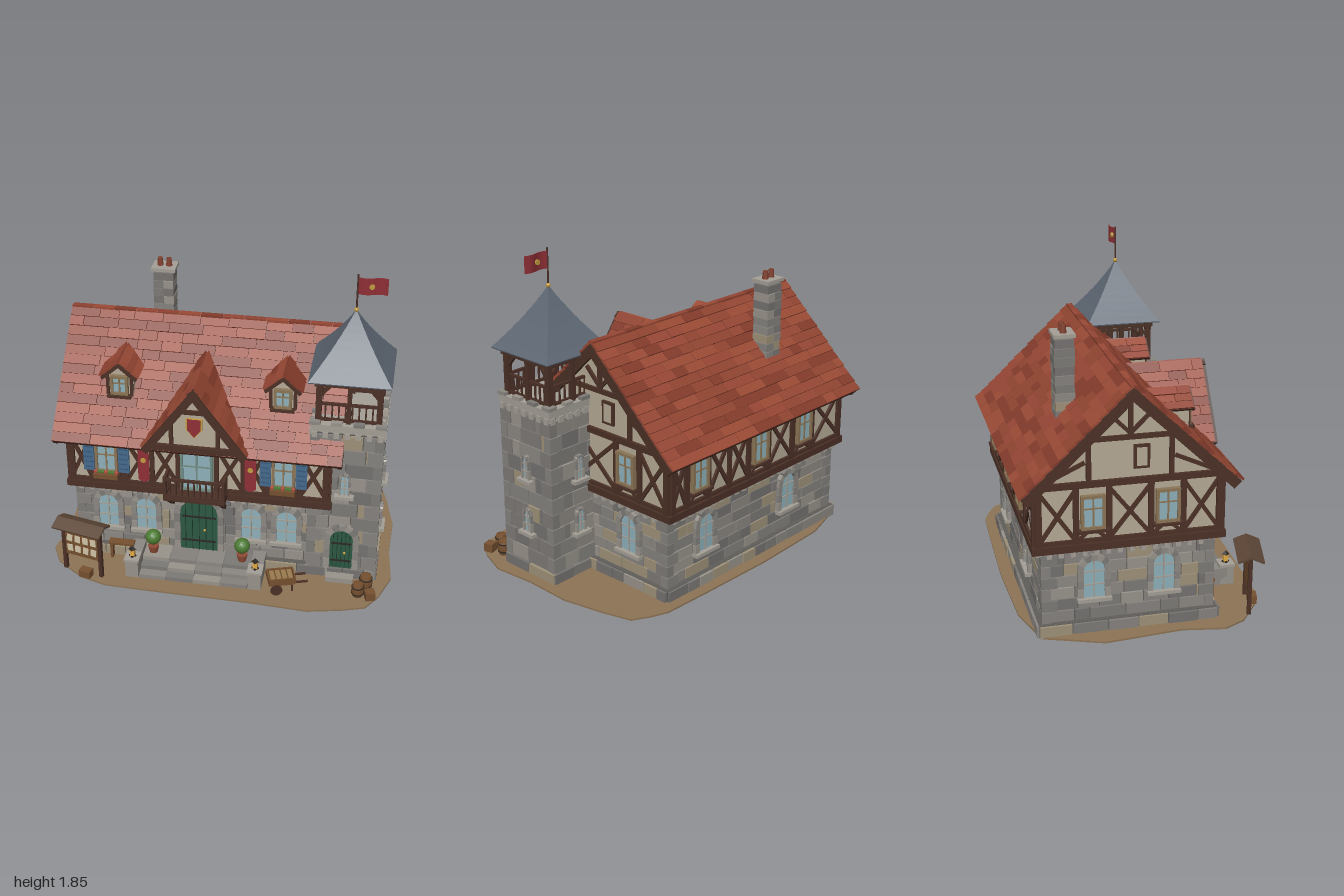
import * as THREE from 'three';

const STONE = [0x8b8782, 0x7c7976, 0x97928a, 0x84817d, 0x9c9078, 0x74716f];
const TILE = [0x8f4330, 0x9a4a35, 0x823b2b, 0x954634];
const TIMBER = 0x4a3026, PLASTER = 0xb3a894, GLASS = 0x8db0ba, MORTAR = 0x605d5a, GREEN = 0x2c5742;
const WOOD = 0x76502f, IRON = 0x2b2725, RED = 0x8e2f35, GOLD = 0xc09a3e, TRIM = 0xa39e95, SLATE = 0x5d6672;
const UNIT = new THREE.BoxGeometry(1, 1, 1), PI = Math.PI;
const CX = -0.125, CZ = -0.12; // centre of the main house
let seed = 7;
const rnd = () => (seed = (seed * 16807) % 2147483647) / 2147483647;
const pick = a => a[Math.floor(rnd() * a.length)];
const mats = {};
const mat = c => mats[c] ??= new THREE.MeshStandardMaterial({ color: c, flatShading: true });

function group(p, name, x = 0, y = 0, z = 0, ry = 0) {
  const g = new THREE.Group();
  g.name = name; g.position.set(x, y, z); g.rotation.y = ry; p.add(g);
  return g;
}
function mesh(p, name, geo, c, x = 0, y = 0, z = 0) {
  const m = new THREE.Mesh(geo, mat(c));
  m.name = name; m.position.set(x, y, z); p.add(m);
  return m;
}
function box(p, name, c, w, h, d, x, y, z, rz = 0) {
  const m = mesh(p, name, UNIT, c, x, y, z);
  m.scale.set(w, h, d); m.rotation.z = rz;
  return m;
}
const cyl = (p, name, c, r1, r2, h, x, y, z, n = 12) => mesh(p, name, new THREE.CylinderGeometry(r1, r2, h, n), c, x, y, z);
// Timber between two points of a facade
const beam = (p, x1, y1, x2, y2, z, w = 0.026, d = 0.03) =>
  box(p, 'timber', TIMBER, Math.hypot(x2 - x1, y2 - y1), w, d, (x1 + x2) / 2, (y1 + y2) / 2, z, Math.atan2(y2 - y1, x2 - x1));
function prism(p, name, c, pts, depth, z) {
  const s = new THREE.Shape(pts.map(q => new THREE.Vector2(...q)));
  return mesh(p, name, new THREE.ExtrudeGeometry(s, { depth, bevelEnabled: false }), c, 0, 0, z);
}
// Coursed blocks of random length on a facade
function stonework(f, u0, u1, y0, y1, rows, z) {
  const h = (y1 - y0) / rows;
  for (let i = 0; i < rows; i++)
    for (let u = u0; u < u1 - 0.001;) {
      let l = 0.08 + rnd() * 0.12;
      if (u + l > u1 - 0.05) l = u1 - u;
      box(f, 'stone', pick(STONE), l - 0.006, h - 0.006, 0.024 + rnd() * 0.012, u + l / 2, y0 + h * (i + 0.5), z);
      u += l;
    }
}
function quoins(p, hx, hz, y0, y1, rows) {
  const h = (y1 - y0) / rows;
  for (const sx of [-1, 1]) for (const sz of [-1, 1]) for (let i = 0; i < rows; i++) {
    const a = i % 2 ? 0.05 : 0.085, b = i % 2 ? 0.085 : 0.05;
    box(p, 'quoin', STONE[i % 2 ? 1 : 3], a, h - 0.005, b, sx * (hx + 0.022 - a / 2), y0 + h * (i + 0.5), sz * (hz + 0.022 - b / 2));
  }
}
// Round-headed window or door with stone surround
function arch(f, u, y, w, h, z, door = false) {
  const g = group(f, door ? 'archedDoor' : 'archedWindow', u, y, z), r = w / 2, top = h - r;
  const s = new THREE.Shape().moveTo(-r, 0).lineTo(r, 0).lineTo(r, top).absarc(0, top, r, 0, PI);
  mesh(g, door ? 'leaf' : 'glass', new THREE.ExtrudeGeometry(s, { depth: 0.024, bevelEnabled: false, curveSegments: 8 }), door ? GREEN : GLASS);
  const t = Math.min(0.035, w * 0.28), n = 7;
  for (let i = 0; i < n; i++) {
    const a = (i + 0.5) / n * PI, R = r + t / 2;
    box(g, 'voussoir', STONE[i % 3], t, R * PI / n * 1.02, 0.038, Math.cos(a) * R, top + Math.sin(a) * R, 0.019, a);
  }
  const k = Math.max(2, Math.round(top / 0.06));
  for (const sd of [-1, 1]) for (let i = 0; i < k; i++)
    box(g, 'jamb', STONE[(i + 2) % 4], t, top / k - 0.003, 0.036, sd * (r + t / 2), top / k * (i + 0.5), 0.018);
  if (door) {
    for (let i = -2; i <= 2; i++) box(g, 'plankLine', 0x1c3a2c, 0.004, h - 0.02 - Math.abs(i) * w * 0.06, 0.004, i * w / 5.5, h / 2 - Math.abs(i) * w * 0.03, 0.026);
    for (const v of [0.2, 0.65]) box(g, 'strap', IRON, w * 0.9, 0.01, 0.006, 0, h * v, 0.027);
    mesh(g, 'handle', new THREE.SphereGeometry(0.008, 8, 6), GOLD, r * 0.3, h * 0.42, 0.032);
  } else {
    box(g, 'mullion', TRIM, 0.008, h, 0.008, 0, h / 2, 0.026);
    for (const v of [0.35, 0.7]) box(g, 'glazingBar', TRIM, w, 0.007, 0.008, 0, h * v, 0.026);
    box(g, 'sill', TRIM, w + 0.07, 0.02, 0.055, 0, -0.01, 0.025);
  }
}
function casement(f, u, y, w, h, z, c = 0x8a7455) {
  const g = group(f, 'casement', u, y, z);
  box(g, 'glass', GLASS, w, h, 0.014, 0, h / 2, 0.007);
  for (const s of [-1, 1]) {
    box(g, 'frame', c, 0.016, h + 0.016, 0.026, s * w / 2, h / 2, 0.013);
    box(g, 'frame', c, w, 0.016, 0.026, 0, h / 2 + s * h / 2, 0.013);
  }
  box(g, 'mullion', c, 0.009, h, 0.02, 0, h / 2, 0.01);
  box(g, 'glazingBar', c, w, 0.007, 0.02, 0, h * 0.62, 0.01);
  box(g, 'sill', TIMBER, w + 0.05, 0.014, 0.04, 0, -0.014, 0.02);
}
function railing(p, w, y, h, x, z, ry = 0) {
  const g = group(p, 'railing', x, y, z, ry), n = Math.round(w / 0.035);
  for (const v of [0.012, h]) box(g, 'rail', TIMBER, w, 0.014, 0.016, 0, v, 0);
  for (let i = 0; i <= n; i++) box(g, 'baluster', TIMBER, 0.009, h, 0.009, -w / 2 + i * w / n, h / 2, 0);
}
// Group whose y runs up a roof slope and whose z points out of it
function slope(p, half, y0, y1) {
  const g = group(p, 'roofSlope', 0, y0, half);
  g.rotation.x = Math.atan2(-half, y1 - y0);
  return [g, Math.hypot(half, y1 - y0)];
}
function tiles(g, len, rows, range) {
  const h = len / rows;
  for (let i = 0; i < rows; i++) {
    const [a, b] = range((i + 0.5) / rows);
    for (let x = a; x < b - 0.001;) {
      let l = 0.08 + rnd() * 0.16;
      if (x + l > b - 0.04) l = b - x;
      box(g, 'roofTile', pick(TILE), l - 0.003, h * 1.15, 0.012, x + l / 2, h * (i + 0.52), 0.008 + rnd() * 0.005).rotation.x = -0.11;
      x += l;
    }
  }
}
const roofZ = y => CZ + (1.385 - y) / 0.975;
// Small gable roof running forward out of the main slope
function crossRoof(p, cx, zf, half, y0, y1, rows, trim) {
  for (const s of [-1, 1]) {
    const [g, len] = slope(group(p, 'gableRoof', cx, 0, 0, s * PI / 2), half, y0, y1);
    const back = roofZ(y1) - 0.02;
    box(g, 'deck', TIMBER, zf - back, len, 0.016, -s * (zf + back) / 2, len / 2, -0.008);
    tiles(g, len, rows, t => { const zb = roofZ(y0 + (y1 - y0) * t) - 0.04; return s > 0 ? [-zf, -zb] : [zb, zf]; });
    box(g, 'bargeBoard', TIMBER, trim * 0.8, len + trim * 0.3, trim, -s * zf, len / 2, -trim * 0.3);
  }
}
function barrel(p, x, z, h, r) {
  const pts = [[0, 0], [r * 0.8, 0], [r, h * 0.35], [r, h * 0.65], [r * 0.8, h], [r * 0.7, h], [r * 0.7, h * 0.94], [0, h * 0.94]];
  const g = group(p, 'barrel', x, 0.01, z);
  mesh(g, 'staves', new THREE.LatheGeometry(pts.map(q => new THREE.Vector2(...q)), 12), WOOD);
  for (const v of [0.25, 0.75]) cyl(g, 'hoop', IRON, r * 1.01, r * 1.01, h * 0.08, 0, h * v, 0);
}

function buildHouse(root) {
  const house = group(root, 'house', CX, 0, CZ);
  box(house, 'plinth', MORTAR, 1.49, 0.07, 0.98, 0, 0.035, 0);
  box(house, 'groundFloor', MORTAR, 1.41, 0.43, 0.9, 0, 0.28, 0);
  prism(group(house, 'upperFloor', 0, 0, 0, PI / 2), 'plasterWalls', PLASTER, [[-0.5, 0.5], [0.5, 0.5], [0.5, 0.85], [0, 1.34], [-0.5, 0.85]], 1.48, -0.74);
  quoins(house, 0.705, 0.45, 0.07, 0.47, 6);
  // [name, turn, half width, ground wall, upper wall, arched windows, casements]
  const sides = [['front', 0, 0.705, 0.45, 0.5, [-0.535, -0.31, 0.305, 0.51], [-0.52, 0.49]],
    ['back', PI, 0.705, 0.45, 0.5, [-0.425, 0.295], [-0.525, -0.02, 0.375]],
    ['right', PI / 2, 0.45, 0.705, 0.74, [0.19], [0.2]],
    ['left', -PI / 2, 0.45, 0.705, 0.74, [-0.19, 0.19], [-0.2, 0.2]]];
  for (const [name, ry, hw, zg, zu, arches, windows] of sides) {
    const f = group(house, name + 'Facade', 0, 0, 0, ry), gable = hw < 0.6, uw = gable ? 0.5 : 0.74;
    stonework(f, -hw - 0.04, hw + 0.04, 0, 0.07, 1, zg + 0.04);
    stonework(f, -hw, hw, 0.07, 0.47, 6, zg);
    for (const u of arches) arch(f, u, 0.205, 0.115, 0.215, zg);
    for (let u = -hw + 0.02; u <= hw; u += 0.063) box(f, 'corbel', TRIM, 0.026, 0.035, 0.05, u, 0.475, zg + 0.02);
    beam(f, -uw - 0.02, 0.51, uw + 0.02, 0.51, zu, 0.04, 0.045);
    beam(f, -uw, 0.545, uw, 0.545, zu, 0.02);
    beam(f, -uw, gable ? 0.86 : 0.825, uw, gable ? 0.86 : 0.825, zu, 0.034, 0.04);
    for (const s of [-1, 1]) beam(f, s * (uw - 0.014), 0.52, s * (uw - 0.014), 0.86, zu, 0.034, 0.036);
    for (const u of windows) {
      casement(f, u, 0.62, 0.115, 0.175, zu + 0.008);
      for (const s of [-1, 1]) {
        beam(f, u + s * 0.085, 0.53, u + s * 0.085, 0.85, zu);
        beam(f, u + s * 0.02, 0.6, u + s * 0.08, 0.545, zu, 0.018);
      }
    }
    // Crossed braces in the panels between windows
    const panels = { front: [[-0.41, -0.26], [-0.26, -0.11], [0.11, 0.26], [0.26, 0.39], [-0.73, -0.61], [0.58, 0.73]],
      back: [[-0.44, -0.27], [-0.27, -0.11], [0.07, 0.28], [0.47, 0.73], [-0.73, -0.62]],
      right: [[-0.48, -0.2], [-0.2, 0.11], [0.29, 0.48]], left: [[-0.48, -0.29], [-0.11, 0.11], [0.29, 0.48]] }[name];
    for (const [a, b] of panels) {
      beam(f, a, 0.55, b, 0.83, zu, 0.022, 0.026);
      beam(f, a, 0.83, b, 0.55, zu, 0.022, 0.024);
      beam(f, a, 0.53, a, 0.85, zu);
      beam(f, b, 0.53, b, 0.85, zu);
    }
    if (!gable) continue;
    // Gable framing and attic hatch
    beam(f, -0.25, 1.1, 0.25, 1.1, zu);
    beam(f, 0, 1.1, 0, 1.33, zu);
    for (const s of [-1, 1]) {
      beam(f, s * 0.22, 0.87, s * 0.22, 1.11, zu);
      beam(f, s * 0.48, 0.87, s * 0.24, 0.98, zu, 0.02);
      beam(f, 0, 1.12, s * 0.1, 1.22, zu, 0.02);
    }
    box(f, 'atticHatch', TIMBER, 0.085, 0.13, 0.03, 0.06, 0.99, zu);
    box(f, 'hatchPanel', PLASTER, 0.055, 0.1, 0.036, 0.06, 0.99, zu);
  }
  // Main roof
  for (const ry of [0, PI]) {
    const [g, len] = slope(group(house, 'mainRoof', 0, 0, 0, ry), 0.58, 0.825, 1.38);
    box(g, 'deck', TIMBER, 1.61, len, 0.03, 0, len / 2, -0.018);
    tiles(g, len, 14, () => [-0.815, 0.815]);
    for (const s of [-1, 1]) box(g, 'bargeBoard', TIMBER, 0.024, len, 0.055, s * 0.802, len / 2, -0.025);
    for (let u = -0.72; u < 0.75; u += 0.09) box(g, 'rafterEnd', TIMBER, 0.022, 0.12, 0.025, u, 0.07, -0.042);
  }
  for (let i = 0; i < 13; i++) box(house, 'ridgeTile', TILE[i % 4], 0.122, 0.022, 0.035, -0.75 + i * 0.125, 1.384, 0);
  // Chimney
  const ch = group(root, 'chimney', -0.45, 0, -0.385);
  for (let i = 0; i < 10; i++) for (const s of [-1, 1])
    box(ch, 'stone', pick(STONE), 0.056 + rnd() * 0.008, 0.046, 0.1 + rnd() * 0.012, s * 0.029, 1.06 + i * 0.049, 0);
  box(ch, 'cap', TRIM, 0.142, 0.02, 0.118, 0, 1.545, 0);
  for (const s of [-1, 1]) cyl(ch, 'pot', 0x80402f, 0.014, 0.019, 0.05, s * 0.026, 1.577, 0);
}

function buildFrontDetails(root) {
  const f = group(root, 'entranceFront', CX, 0, 0);
  arch(f, 0, 0.075, 0.22, 0.375, 0.33, true);
  for (const [i, z] of [0.58, 0.525, 0.47].entries())
    for (let k = 0; k < 4; k++) box(f, 'step', STONE[(i + k) % 4], 0.157, 0.025, z - 0.33, -0.237 + k * 0.158, 0.0225 + i * 0.025, (z + 0.33) / 2);
  // Balcony
  casement(f, 0, 0.55, 0.17, 0.245, 0.388, 0x6f8a80);
  box(f, 'balconyFloor', TIMBER, 0.35, 0.022, 0.125, 0, 0.53, 0.44);
  railing(f, 0.34, 0.54, 0.12, 0, 0.493);
  for (const s of [-1, 1]) {
    railing(f, 0.11, 0.54, 0.12, s * 0.167, 0.44, PI / 2);
    box(f, 'balconyPost', TIMBER, 0.018, 0.145, 0.018, s * 0.167, 0.605, 0.493);
    box(f, 'bracket', TIMBER, 0.022, 0.15, 0.022, s * 0.15, 0.465, 0.42).rotation.x = 0.85;
    // Banners
    const b = group(f, 'banner', s * 0.305, 0, 0.402);
    prism(b, 'cloth', RED, [[-0.032, 0.585], [0, 0.565], [0.032, 0.585], [0.032, 0.8], [-0.032, 0.8]], 0.006, 0);
    cyl(b, 'disc', GOLD, 0.016, 0.016, 0.006, 0, 0.715, 0.007).rotation.x = PI / 2;
    box(b, 'rod', IRON, 0.085, 0.01, 0.012, 0, 0.803, 0.003);
    // Stair pedestals with lanterns
    const x = s * 0.358;
    box(f, 'cheekWall', STONE[0], 0.075, 0.1, 0.2, x, 0.06, 0.44);
    box(f, 'pedestal', STONE[2], 0.075, 0.11, 0.08, x, 0.065, 0.54);
    box(f, 'pedestalCap', TRIM, 0.088, 0.014, 0.09, x, 0.127, 0.54);
    box(f, 'lanternGlass', 0xe0a840, 0.026, 0.045, 0.026, x, 0.16, 0.54);
    cyl(f, 'lanternTop', IRON, 0.003, 0.024, 0.022, x, 0.193, 0.54, 4);
    cyl(f, 'lanternBase', IRON, 0.022, 0.022, 0.008, x, 0.138, 0.54, 4);
    // Potted trees
    cyl(f, 'pot', 0x8d4a35, 0.033, 0.022, 0.05, s * 0.262, 0.105, 0.415);
    cyl(f, 'trunk', WOOD, 0.006, 0.006, 0.05, s * 0.262, 0.15, 0.415, 6);
    mesh(f, 'foliage', new THREE.IcosahedronGeometry(0.046, 2), 0x4b7a32, s * 0.262, 0.19, 0.415);
  }
  // Shutters and flower boxes
  for (const u of [-0.52, 0.49]) {
    for (const s of [-1, 1]) {
      box(f, 'shutter', 0x456a8c, 0.062, 0.185, 0.016, u + s * 0.101, 0.71, 0.402);
      for (let i = 0; i < 5; i++) box(f, 'shutterSlat', 0x39597a, 0.046, 0.008, 0.006, u + s * 0.101, 0.645 + i * 0.033, 0.412);
    }
    box(f, 'flowerBox', WOOD, 0.14, 0.03, 0.045, u, 0.603, 0.425);
    for (let i = 0; i < 7; i++) mesh(f, 'flower', new THREE.IcosahedronGeometry(0.013, 0), i % 3 ? 0x4b7a32 : 0xb5483f, u - 0.06 + i * 0.02, 0.624, 0.425);
  }
  // Central gable
  prism(f, 'gableWall', PLASTER, [[-0.26, 0.84], [0.26, 0.84], [0, 1.2]], 0.3, 0.15);
  beam(f, -0.27, 0.855, 0.27, 0.855, 0.455, 0.035, 0.04);
  for (const s of [-1, 1]) beam(f, s * 0.13, 0.86, s * 0.13, 1.03, 0.45, 0.022);
  beam(f, -0.08, 1.09, 0.08, 1.09, 0.45, 0.024);
  const shield = w => [[-w, 1.05], [w, 1.05], [w, 0.985], [0, 0.975 - w], [-w, 0.985]];
  prism(f, 'shieldRim', GOLD, shield(0.046), 0.014, 0.45);
  prism(f, 'shield', RED, shield(0.037), 0.02, 0.45);
  crossRoof(root, CX, 0.48, 0.285, 0.845, 1.235, 9, 0.042);
  // Dormers
  for (const x of [-0.585, 0.335]) {
    const d = group(root, 'dormer', x);
    prism(d, 'dormerWalls', PLASTER, [[-0.078, 0.98], [0.078, 0.98], [0.078, 1.165], [0, 1.235], [-0.078, 1.165]], 0.25, 0);
    casement(d, 0, 1.055, 0.085, 0.105, 0.248);
    for (const s of [-1, 1]) beam(d, s * 0.068, 1.02, s * 0.068, 1.17, 0.25, 0.018, 0.02);
    crossRoof(root, x, 0.27, 0.1, 1.155, 1.243, 3, 0.018);
  }
}

function buildTower(root) {
  const t = group(root, 'tower', 0.705, 0, 0.175);
  box(t, 'towerCore', MORTAR, 0.36, 1, 0.36, 0, 0.5, 0);
  quoins(t, 0.18, 0.18, 0.07, 0.97, 10);
  for (let k = 0; k < 4; k++) {
    const f = group(t, 'towerSide', 0, 0, 0, k * PI / 2);
    stonework(f, -0.205, 0.205, 0, 0.07, 1, 0.195);
    stonework(f, -0.18, 0.18, 0.07, 0.97, 10, 0.182);
    if (k) arch(f, 0, 0.27, 0.045, 0.13, 0.18);
    else arch(f, 0, 0.075, 0.13, 0.27, 0.18, true);
    arch(f, 0, 0.59, 0.04, 0.13, 0.18);
    for (let i = 0; i < 7; i++) {
      box(f, 'corbel', TRIM, 0.03, 0.035, 0.04, -0.18 + i * 0.06, 0.975, 0.19);
      if (i % 2 === 0) box(f, 'parapetStone', STONE[i % 3], 0.06, 0.02, 0.03, -0.18 + i * 0.06, 1.045, 0.192);
    }
    // Open belfry
    railing(f, 0.33, 1.04, 0.11, 0, 0.165);
    box(f, 'cornerPost', TIMBER, 0.032, 0.26, 0.032, 0.165, 1.165, 0.165);
    box(f, 'middlePost', TIMBER, 0.024, 0.26, 0.024, 0, 1.165, 0.165);
    box(f, 'eaveBeam', TIMBER, 0.38, 0.035, 0.034, 0, 1.283, 0.172);
    for (const s of [-1, 1]) beam(f, s * 0.16, 1.2, s * 0.1, 1.27, 0.165, 0.018, 0.02);
  }
  box(t, 'towerCrown', TRIM, 0.405, 0.045, 0.405, 0, 1.013, 0);
  box(t, 'doorStep', STONE[2], 0.16, 0.035, 0.06, 0, 0.025, 0.235);
  // Flared slate roof in stepped courses
  const half = v => 0.222 * (1 - v) - 0.05 * v * (1 - v), pts = [[0, 1.297], [half(0), 1.297]], n = 9;
  for (let i = 0; i < n; i++) pts.push([half(i / n) + 0.002, 1.304 + i / n * 0.34], [half((i + 1) / n), 1.304 + (i + 1) / n * 0.34]);
  const lathe = new THREE.LatheGeometry(pts.map(([r, y]) => new THREE.Vector2(Math.max(r, 0) * Math.SQRT2, y)), 4);
  mesh(t, 'slateRoof', lathe, SLATE).rotation.y = PI / 4;
  // Flag
  mesh(t, 'finial', new THREE.SphereGeometry(0.013, 10, 8), GOLD, 0, 1.645, 0);
  cyl(t, 'flagPole', TIMBER, 0.005, 0.005, 0.22, 0, 1.74, 0, 8);
  const cloth = new THREE.BoxGeometry(0.155, 0.095, 0.004, 10, 1, 1), pos = cloth.attributes.position;
  for (let i = 0; i < pos.count; i++) pos.setZ(i, pos.getZ(i) + Math.sin((pos.getX(i) + 0.0775) * 40) * 0.009);
  mesh(t, 'flag', cloth, RED, 0.082, 1.785, 0);
  cyl(t, 'flagDisc', GOLD, 0.015, 0.015, 0.02, 0.075, 1.785, 0).rotation.x = PI / 2;
}

function buildYard(root) {
  const edge = [[0.4, -0.69], [0.69, -0.68], [0.79, -0.64], [0.88, -0.59], [0.93, -0.42], [0.98, -0.18], [0.975, 0.1], [1, 0.35], [0.94, 0.52], [0.87, 0.63], [0.74, 0.67], [0.55, 0.71], [0.2, 0.69],
    [-0.3, 0.68], [-0.62, 0.67], [-0.78, 0.62], [-0.94, 0.5], [-1, 0.38], [-0.96, 0.15], [-1, -0.28], [-0.94, -0.44], [-0.88, -0.6], [-0.6, -0.68], [-0.1, -0.7]];
  prism(root, 'dirtGround', 0x8c7355, edge.map(([x, z]) => [x, -z]), 0.01, 0).rotation.x = -PI / 2;
  // Notice board
  const n = group(root, 'noticeBoard', -0.77, 0, 0.575, -0.23);
  for (const s of [-1, 1]) {
    box(n, 'post', TIMBER, 0.022, 0.33, 0.022, s * 0.115, 0.175, 0);
    box(n, 'boardRoof', 0x5c4636, 0.3, 0.012, 0.08, 0, 0.347, s * 0.034).rotation.x = s * 0.4;
  }
  box(n, 'board', WOOD, 0.22, 0.17, 0.014, 0, 0.205, 0);
  for (let i = 0; i < 8; i++) box(n, 'note', 0xd0c4a6, 0.035, 0.045, 0.004, -0.075 + (i % 4) * 0.05, 0.17 + Math.floor(i / 4) * 0.07, 0.009, (rnd() - 0.5) * 0.3);
  box(n, 'crate', WOOD, 0.07, 0.045, 0.05, 0.03, 0.033, 0.03);
  // Bench
  const b = group(root, 'bench', -0.58, 0, 0.4);
  box(b, 'seat', WOOD, 0.15, 0.014, 0.05, 0, 0.115, 0);
  for (const s of [-1, 1]) box(b, 'leg', WOOD, 0.016, 0.1, 0.045, s * 0.06, 0.06, 0);
  // Hand cart
  const c = group(root, 'handCart', 0.38, 0, 0.535, 0.3);
  box(c, 'bed', WOOD, 0.15, 0.012, 0.1, 0, 0.07, 0);
  for (const s of [-1, 1]) {
    box(c, 'sideBoard', WOOD, 0.15, 0.035, 0.008, 0, 0.095, s * 0.05);
    box(c, 'endBoard', WOOD, 0.008, 0.035, 0.1, s * 0.075, 0.095, 0);
    box(c, 'shaft', TIMBER, 0.1, 0.01, 0.01, 0.1, 0.07, s * 0.035);
    box(c, 'prop', TIMBER, 0.01, 0.06, 0.01, 0.06, 0.04, s * 0.035);
    cyl(c, 'wheel', TIMBER, 0.034, 0.034, 0.01, -0.035, 0.044, s * 0.062, 14).rotation.x = PI / 2;
  }
  for (let i = 0; i < 4; i++) box(c, 'load', 0x9a7a4e, 0.026, 0.03, 0.08, -0.05 + i * 0.034, 0.093, 0);
  // Barrels and crate beside the tower
  barrel(root, 0.86, 0.455, 0.09, 0.038);
  barrel(root, 0.82, 0.53, 0.085, 0.036);
  group(root, 'crate', 0.89, 0, 0.545, 0.3).add(box(root, 'crateBox', WOOD, 0.055, 0.05, 0.055, 0, 0.035, 0));
}

export function createModel() {
  seed = 7;
  const root = new THREE.Group();
  root.name = 'timberFramedInn';
  for (const build of [buildHouse, buildFrontDetails, buildTower, buildYard]) build(root);
  return root;
}
